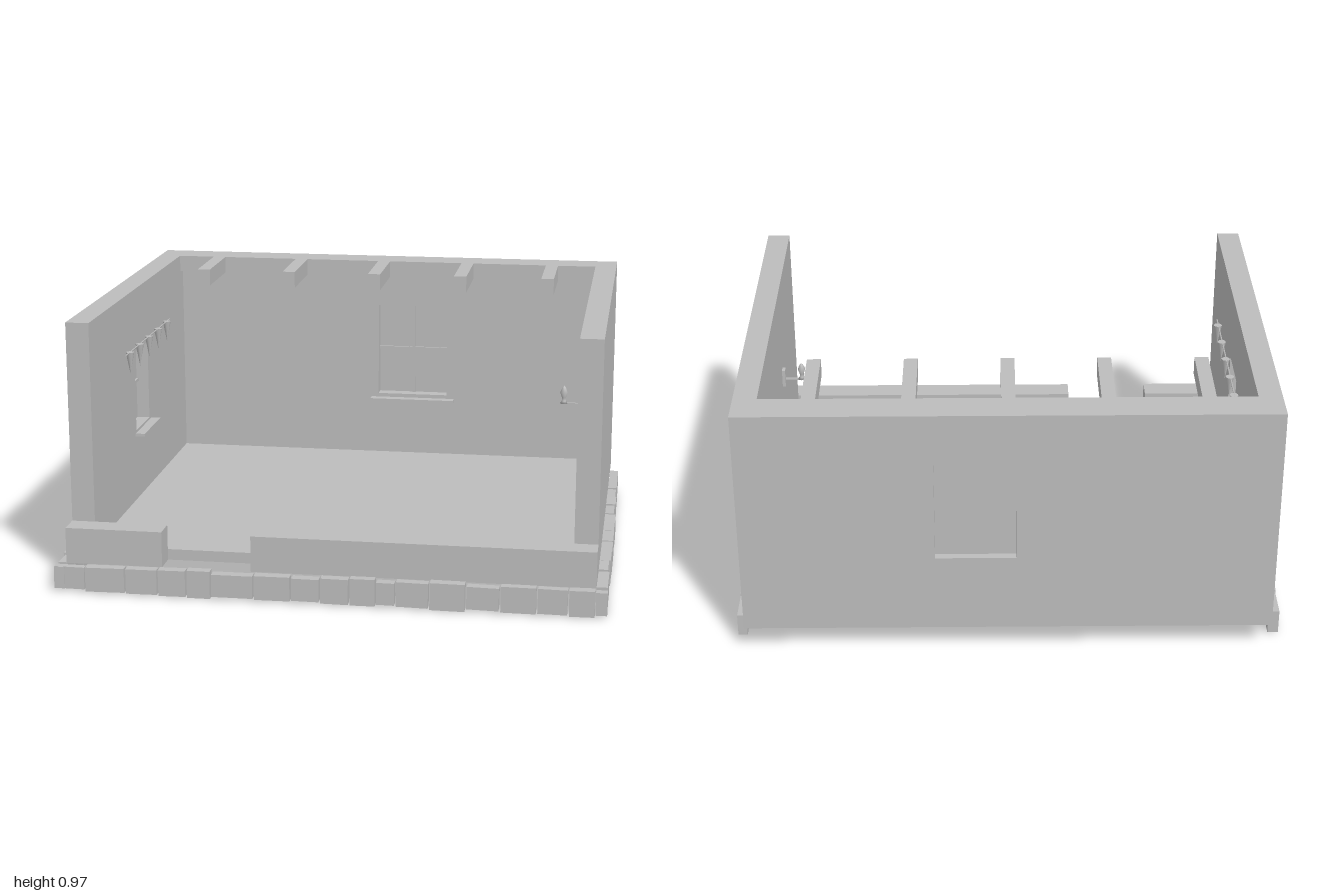
import * as THREE from 'three';

export function createModel() {
  const root = new THREE.Group();
  const stone = new THREE.MeshStandardMaterial({ color: 0xbcbcbc });
  stone.name = 'plain grey';

  let seed = 7;
  const rand = () => (seed = (seed * 16807) % 2147483647) / 2147483647;

  const add = (name, geometry, parent = root) => {
    const mesh = new THREE.Mesh(geometry, stone);
    mesh.name = name;
    parent.add(mesh);
    return mesh;
  };
  // Box given by its low and high corners
  const block = (name, x0, x1, y0, y1, z0, z1, parent = root) => {
    const mesh = add(name, new THREE.BoxGeometry(x1 - x0, y1 - y0, z1 - z0), parent);
    mesh.position.set((x0 + x1) / 2, (y0 + y1) / 2, (z0 + z1) / 2);
    return mesh;
  };

  const X = 0.955, T = 0.085, Y0 = 0.105, Y1 = 0.975;

  // Wall with a window: built along local x, room side facing local +z
  function windowWall(name, u0, u1, w, sill) {
    const group = new THREE.Group();
    group.name = name;
    root.add(group);
    const rect = (Type, a, b, c, d) => {
      const p = new Type();
      p.moveTo(a, c); p.lineTo(b, c); p.lineTo(b, d); p.lineTo(a, d); p.closePath();
      return p;
    };
    const shape = rect(THREE.Shape, u0, u1, Y0, Y1);
    shape.holes.push(rect(THREE.Path, w.u0, w.u1, w.y0, w.y1));
    add(name + 'Panel', new THREE.ExtrudeGeometry(shape, { depth: T, bevelEnabled: false }), group);
    // Pane with slim glazing bars
    block('windowPane', w.u0, w.u1, w.y0, w.y1, 0.028, 0.036, group);
    const mu = (w.u0 + w.u1) / 2, my = (w.y0 + w.y1) / 2;
    block('windowUpright', mu - 0.006, mu + 0.006, w.y0, w.y1, 0.036, 0.046, group);
    block('windowCrossbar', w.u0, w.u1, my - 0.006, my + 0.006, 0.036, 0.045, group);
    block('windowSill', sill.u0, sill.u1, sill.y0, sill.y1, T, T + 0.037, group);
    return group;
  }

  const back = windowWall('backWall', -X, X,
    { u0: -0.03, u1: 0.26, y0: 0.4, y1: 0.78 },
    { u0: -0.06, u1: 0.29, y0: 0.372, y1: 0.385 });
  back.position.z = -0.83;

  const side = windowWall('rightWall', -0.7, 0.745,
    { u0: -0.083, u1: 0.122, y0: 0.42, y1: 0.73 },
    { u0: -0.1, u1: 0.155, y0: 0.4, y1: 0.411 });
  side.position.x = -X;
  side.rotation.y = Math.PI / 2;

  block('leftWall', X - T, X, Y0, Y1, -0.745, 0.7);

  // Floor and low front walls either side of the doorway
  block('floor', -X + T, X - T, Y0, 0.145, -0.745, 0.7);
  block('lowFrontWallRight', -X, -0.6, Y0, 0.237, 0.7, 0.79);
  block('lowFrontWallLeft', -0.275, X, Y0, 0.237, 0.7, 0.79);

  // Ceiling ledger and cut-off beams
  block('ledger', -X + T, X - T, 0.91, Y1, -0.745, -0.7);
  for (const x of [-0.7, -0.35, -0.002, 0.345, 0.693])
    block('ceilingBeam', x - 0.025, x + 0.025, 0.91, Y1, -0.7, -0.4);

  // Uneven foundation stones
  function foundationStone(length, depth) {
    const y0 = 0.004 + rand() * 0.02, y1 = 0.103 + rand() * 0.006;
    const g = new THREE.BoxGeometry(length - 0.006, y1 - y0, depth);
    g.rotateZ((rand() - 0.5) * 0.05);
    const m = add('foundationStone', g);
    m.position.y = (y0 + y1) / 2;
    return m;
  }
  const frontJoints = [-0.995, -0.88, -0.73, -0.61, -0.505, -0.415, -0.26, -0.125, -0.02,
    0.085, 0.18, 0.25, 0.37, 0.5, 0.62, 0.75, 0.86, 0.955];
  for (let i = 1; i < frontJoints.length; i++) {
    const a = frontJoints[i - 1], b = frontJoints[i], d = 0.028 + rand() * 0.012;
    foundationStone(b - a, d).position.set((a + b) / 2, 0.058, 0.79 + d / 2);
  }
  const sideJoints = [-0.745, -0.61, -0.46, -0.33, -0.23, -0.11, 0, 0.11, 0.24, 0.365,
    0.48, 0.585, 0.69, 0.785, 0.825];
  for (const s of [-1, 1]) {
    for (let i = 1; i < sideJoints.length; i++) {
      const a = sideJoints[i - 1], b = sideJoints[i], d = 0.032 + rand() * 0.011;
      const m = foundationStone(b - a, d);
      m.rotation.y = s * Math.PI / 2;
      m.position.set(s * (X + d / 2), 0.058, (a + b) / 2);
    }
  }

  // Rail with hanging cones above the side window
  const rail = add('hangingRail', new THREE.CylinderGeometry(0.003, 0.003, 0.69, 6));
  rail.rotation.x = Math.PI / 2;
  rail.position.set(-0.84, 0.772, -0.025);
  for (const z of [-0.315, -0.17, -0.025, 0.12, 0.265]) {
    const cone = add('hangingCone', new THREE.ConeGeometry(0.016, 0.085, 10));
    cone.rotation.x = Math.PI;
    cone.position.set(-0.838, 0.732, z);
  }

  // Wall lamp on the solid side wall
  block('lampPlate', 0.858, 0.87, 0.58, 0.65, 0.135, 0.165);
  block('lampArm', 0.795, 0.86, 0.603, 0.61, 0.146, 0.154);
  const profile = [[0, 0], [0.015, 0.003], [0.008, 0.012], [0.008, 0.025], [0.015, 0.045], [0.006, 0.065], [0, 0.07]];
  const lamp = add('lamp', new THREE.LatheGeometry(profile.map(p => new THREE.Vector2(...p)), 10));
  lamp.position.set(0.795, 0.605, 0.15);

  return root;
}
